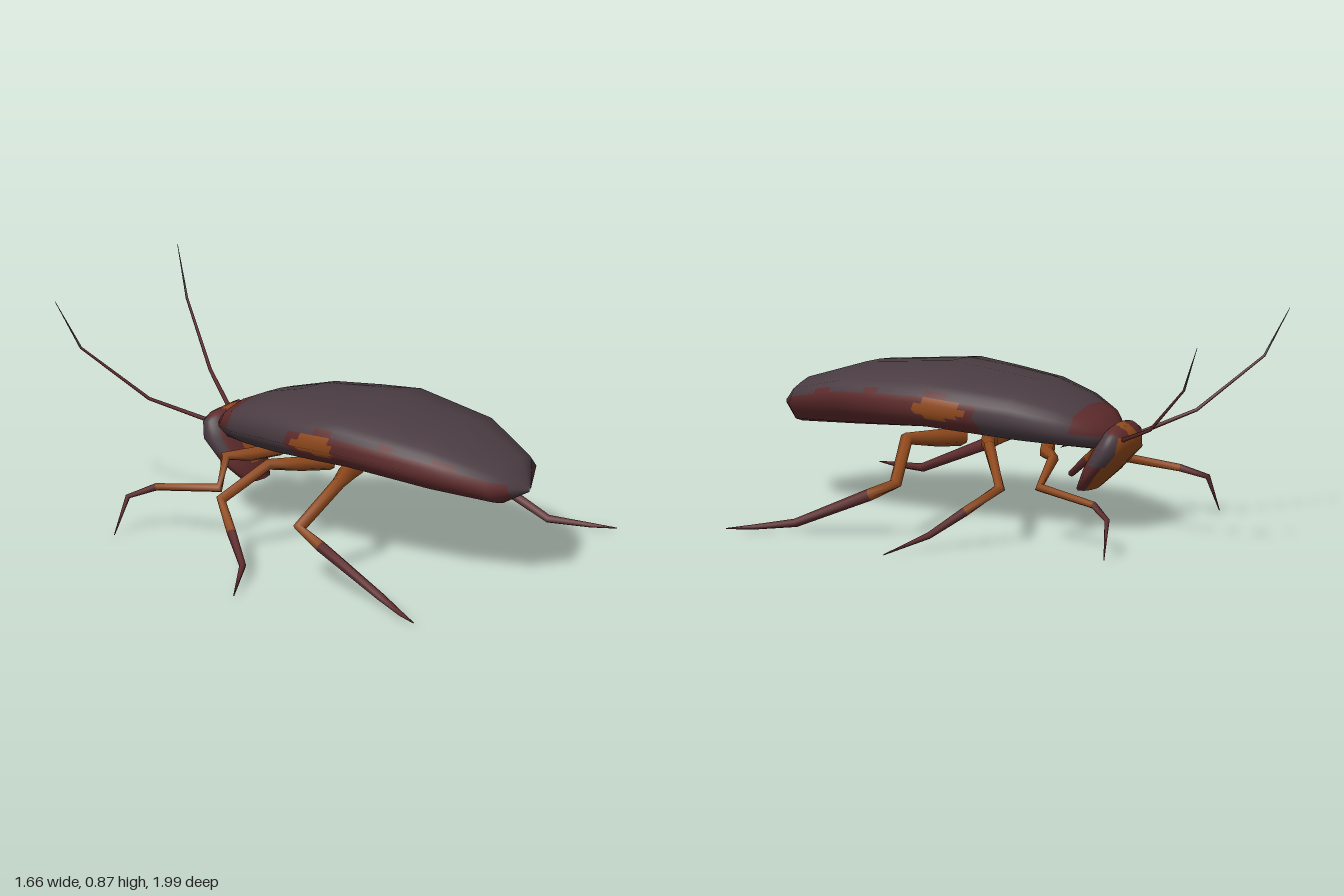
import * as THREE from 'three';

const mat = (name, color) => {
  const m = new THREE.MeshStandardMaterial({ color });
  m.name = name;
  return m;
};
const V = (x, y, z) => new THREE.Vector3(x, y, z);
const DARK = 0, MAROON = 1, ORANGE = 2;

// Skin closed rings with smooth normals; every patch is split into su x sv
// quads and each quad gets the material that paint(point, i, j) picks.
function loft(name, rings, materials, paint, su = 1, sv = 1) {
  const n = rings[0].length, rows = rings.length;
  const coarse = new THREE.BufferGeometry().setFromPoints(rings.flat());
  const idx = [];
  for (let i = 0; i < rows - 1; i++) for (let j = 0; j < n; j++) {
    const a = i * n + j, b = a + n, c = i * n + (j + 1) % n, d = c + n;
    idx.push(a, b, c, c, b, d);
  }
  coarse.setIndex(idx);
  coarse.computeVertexNormals();
  const sample = (attr, u, v) => {
    const i = Math.min(Math.floor(u), rows - 2), j = Math.floor(v) % n;
    const fu = u - i, fv = v - Math.floor(v), k = (j + 1) % n;
    const at = (r, c) => new THREE.Vector3().fromBufferAttribute(attr, r * n + c);
    return at(i, j).lerp(at(i + 1, j), fu).lerp(at(i, k).lerp(at(i + 1, k), fu), fv);
  };
  const U = (rows - 1) * su, W = n * sv, pos = [], nor = [];
  const groups = materials.map(() => []);
  for (let i = 0; i <= U; i++) for (let j = 0; j <= W; j++) {
    pos.push(...sample(coarse.attributes.position, i / su, j / sv));
    nor.push(...sample(coarse.attributes.normal, i / su, j / sv).normalize());
  }
  for (let i = 0; i < U; i++) for (let j = 0; j < W; j++) {
    const u = (i + 0.5) / su, v = (j + 0.5) / sv;
    const a = i * (W + 1) + j, b = a + W + 1;
    const p = sample(coarse.attributes.position, u, v);
    groups[paint(p, u, v)].push(a, b, a + 1, a + 1, b, b + 1);
  }
  const geo = new THREE.BufferGeometry();
  geo.setAttribute('position', new THREE.Float32BufferAttribute(pos, 3));
  geo.setAttribute('normal', new THREE.Float32BufferAttribute(nor, 3));
  geo.setIndex(groups.flat());
  let start = 0;
  groups.forEach((g, m) => {
    if (g.length) geo.addGroup(start, g.length, m);
    start += g.length;
  });
  const mesh = new THREE.Mesh(geo, materials);
  mesh.name = name;
  return mesh;
}

// Tapered six-sided limb along a polyline, one colour per segment
function limb(name, points, radii, colours, materials) {
  const rings = points.map((p, i) => {
    const t = points[Math.min(i + 1, points.length - 1)].clone()
      .sub(points[Math.max(i - 1, 0)]).normalize();
    const w = V(0, 1, 0).cross(t).normalize();
    const up = t.clone().cross(w);
    return Array.from({ length: 6 }, (_, k) => {
      const a = k * Math.PI / 3;
      return p.clone().addScaledVector(up, Math.cos(a) * radii[i])
        .addScaledVector(w, Math.sin(a) * radii[i]);
    });
  });
  return loft(name, rings, materials, (p, u) => colours[Math.floor(u)]);
}

export function createModel() {
  const model = new THREE.Group();
  model.name = 'cockroach';
  const materials = [mat('darkShell', 0x4a3c42), mat('maroonShell', 0x5e2b2c), mat('amber', 0x914a1d)];

  // Body stations: z, half width, top, rim and belly heights
  const stations = [
    [-0.442, 0.004, 0.395, 0.39, 0.385],
    [-0.44, 0.09, 0.42, 0.395, 0.345],
    [-0.385, 0.165, 0.475, 0.41, 0.335],
    [-0.27, 0.235, 0.53, 0.43, 0.34],
    [-0.1, 0.295, 0.577, 0.46, 0.345],
    [0.1, 0.335, 0.598, 0.475, 0.36],
    [0.28, 0.355, 0.615, 0.49, 0.37],
    [0.65, 0.3, 0.575, 0.47, 0.345],
    [0.9, 0.175, 0.49, 0.415, 0.325],
    [0.995, 0.004, 0.392, 0.385, 0.378],
  ];
  const bodyRings = stations.map(([z, w, top, rim, low]) => {
    const half = [
      [0, top], [0.4, top - 0.12 * (top - rim)], [0.75, top - 0.28 * (top - rim)],
      [1, rim], [0.64, rim - 0.78 * (rim - low)], [0.3, low], [0, low],
    ].map(([f, y]) => V(f * w, y, z));
    const mirrored = half.slice(1, -1).reverse().map(p => V(-p.x, p.y, p.z));
    return [...half, ...mirrored];
  });
  const bellySpots = [[0.1, -0.2], [0.13, 0.04], [0.13, 0.24]];
  const paintBody = (p, u, v) => {
    const k = v > 6 ? 12 - v : v;           // 0 = spine, 3 = rim, 6 = belly
    const x = Math.abs(p.x), wave = 0.12 * Math.sin(p.z * 23);
    if (k > 2.2 && k < 4.2 && Math.hypot((p.z - 0.19) / 0.11, (p.y - 0.485) / 0.04) < 1) return ORANGE;
    if (k > 4.2 && bellySpots.some(([sx, sz]) => Math.hypot(x - sx, p.z - sz) < 0.075)) return ORANGE;
    if (p.z > 0.94) return DARK;
    if (k > 4.4) return MAROON;
    if (p.z < -0.32) return k < 3 ? MAROON : DARK;
    if (p.z < 0.02 + wave * 0.2) return DARK;
    return k > 2.45 + wave ? MAROON : DARK;
  };
  model.add(loft('body', bodyRings, materials, paintBody, 6, 4));

  // Head sections: front z, front y, back z, back y, half width
  const headRings = [
    [-0.482, 0.425, -0.478, 0.428, 0.004],
    [-0.5, 0.415, -0.45, 0.44, 0.09],
    [-0.525, 0.39, -0.41, 0.41, 0.135],
    [-0.525, 0.33, -0.37, 0.345, 0.15],
    [-0.435, 0.235, -0.32, 0.25, 0.13],
    [-0.36, 0.167, -0.28, 0.167, 0.075],
    [-0.325, 0.163, -0.315, 0.163, 0.004],
  ].map(([fz, fy, bz, by, w]) => Array.from({ length: 10 }, (_, k) => {
    const a = k * Math.PI / 5, c = Math.cos(a);
    return V(-w * Math.sin(a), (fy + by) / 2 + c * (fy - by) / 2, (fz + bz) / 2 + c * (fz - bz) / 2);
  }));
  const paintHead = (p, u, v) => {
    const k = v > 5 ? 10 - v : v;           // 0 = face, 5 = nape
    const x = Math.abs(p.x);
    if (k > 1.5 && k < 3.6 && u > 1.6 && u < 3.7) return DARK;
    if (k < 1.7 && u > 1.8) return ORANGE;
    if (u < 2 && x < 0.03) return ORANGE;
    return k > 4 && x < 0.035 && p.y > 0.24 ? ORANGE : MAROON;
  };
  model.add(loft('head', headRings, materials, paintHead, 5, 4));

  // Legs and feelers, built for both sides
  const limbs = [
    ['frontLeg',
      [[0.05, 0.33, -0.17], [0.17, 0.33, -0.22], [0.25, 0.33, -0.29], [0.325, 0.225, -0.265],
        [0.38, 0.19, -0.53], [0.445, 0.15, -0.62], [0.51, 0.005, -0.638]],
      [0.03, 0.028, 0.022, 0.019, 0.015, 0.011, 0.002],
      [ORANGE, ORANGE, ORANGE, ORANGE, MAROON, MAROON]],
    ['middleLeg',
      [[0.06, 0.33, 0.08], [0.18, 0.345, 0.03], [0.31, 0.365, -0.04], [0.46, 0.238, -0.16],
        [0.545, 0.15, -0.05], [0.63, 0.06, 0.065], [0.83, 0.012, 0.165]],
      [0.035, 0.03, 0.024, 0.022, 0.019, 0.014, 0.002],
      [ORANGE, ORANGE, ORANGE, ORANGE, MAROON, MAROON]],
    ['hindLeg',
      [[0.07, 0.335, 0.2], [0.18, 0.345, 0.24], [0.33, 0.365, 0.31], [0.525, 0.228, 0.262],
        [0.533, 0.175, 0.37], [0.56, 0.037, 0.68], [0.635, 0.02, 0.83], [0.68, 0.014, 0.925]],
      [0.04, 0.035, 0.026, 0.025, 0.024, 0.017, 0.01, 0.002],
      [ORANGE, ORANGE, ORANGE, ORANGE, MAROON, MAROON, MAROON]],
    ['antenna',
      [[0.075, 0.385, -0.5], [0.205, 0.472, -0.69], [0.355, 0.68, -0.91], [0.41, 0.87, -0.995]],
      [0.009, 0.007, 0.005, 0.001],
      [MAROON, MAROON, DARK]],
  ];
  for (const side of [1, -1]) {
    for (const [name, path, radii, colours] of limbs) {
      const points = path.map(([x, y, z]) => V(side * x, y, z));
      model.add(limb((side > 0 ? 'plusX_' : 'minusX_') + name, points, radii, colours, materials));
    }
  }
  return model;
}
